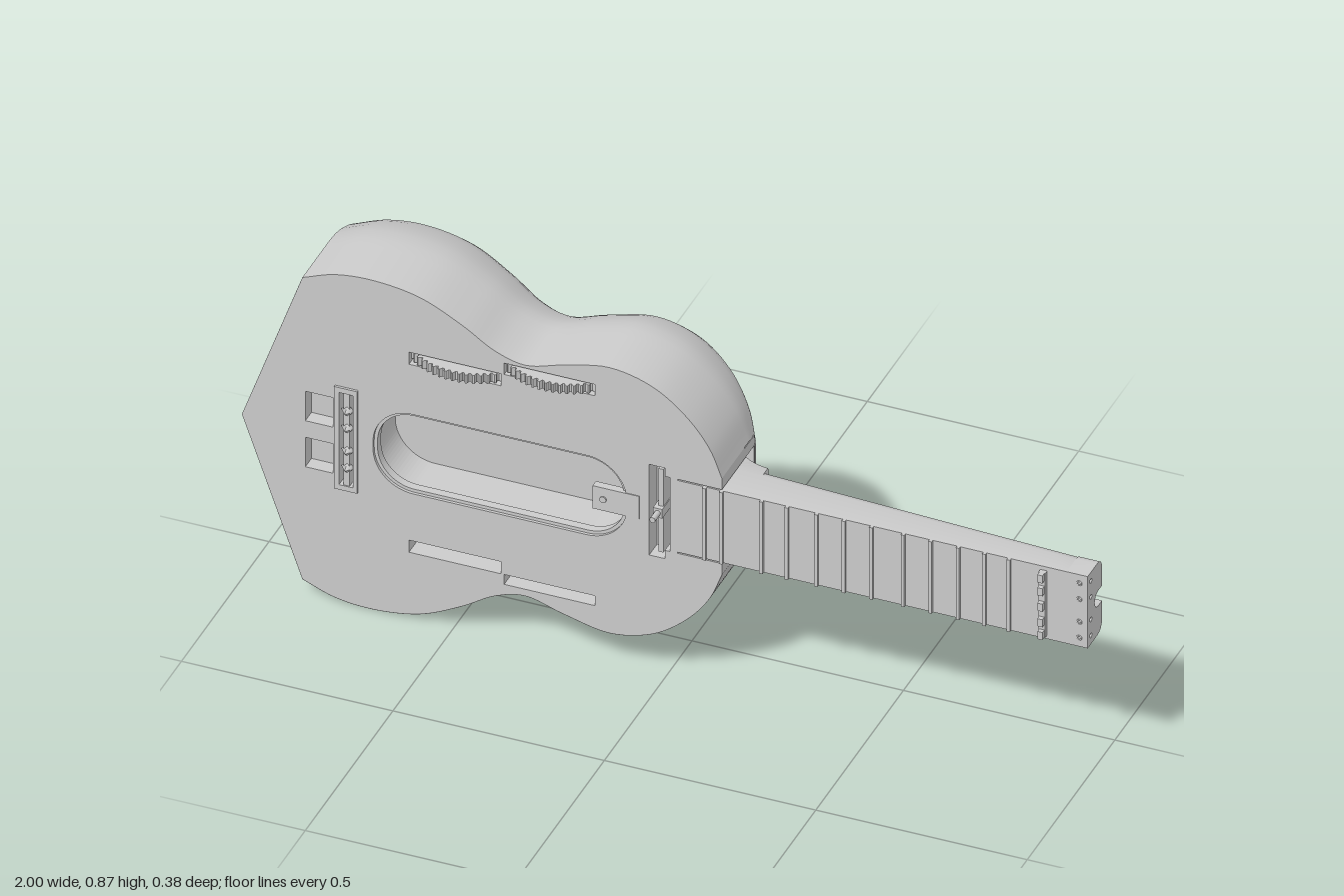
import * as THREE from 'three';
import { toCreasedNormals } from 'three/addons/utils/BufferGeometryUtils.js';

const grey = new THREE.MeshStandardMaterial({ color: 0xcccccc, side: THREE.DoubleSide });
const FRONT = 0.155, BOARD = 0.13;

export function createModel() {
  const model = new THREE.Group();
  model.name = 'guitar';
  const guitar = new THREE.Group(); // y = 0 is the centre line in here
  guitar.name = 'guitarParts';
  guitar.position.y = 0.438;
  model.add(guitar);

  const add = (name, geometry) => {
    const mesh = new THREE.Mesh(geometry, grey);
    mesh.name = name;
    guitar.add(mesh);
    return mesh;
  };
  const box = (name, x0, x1, y0, y1, z0, z1) =>
    add(name, new THREE.BoxGeometry(x1 - x0, y1 - y0, z1 - z0)
      .translate((x0 + x1) / 2, (y0 + y1) / 2, (z0 + z1) / 2));
  const geometryOf = (points, index) => {
    const g = new THREE.BufferGeometry();
    g.setAttribute('position', new THREE.Float32BufferAttribute(points.flat(), 3));
    g.setIndex(index);
    g.computeVertexNormals();
    return g;
  };
  // Skin over a row of cross-sections with equal point counts
  const loft = (sections, closed) => {
    const n = sections[0].length, index = [];
    for (let i = 0; i < sections.length - 1; i++) {
      for (let j = 0; j < (closed ? n : n - 1); j++) {
        const k = (j + 1) % n, a = i * n + j, c = i * n + k;
        index.push(a, a + n, c, a + n, c + n, c);
      }
    }
    return geometryOf(sections.flat(), index);
  };
  // Mirror a half section of [y, z] across the centre line
  const mirrored = (x, half) => [
    ...half.map(([y, z]) => [x, y, z]),
    ...half.slice().reverse().map(([y, z]) => [x, -y, z]),
  ];
  const roundRect = (x0, x1, y0, y1, r = 0) => {
    const s = new THREE.Shape();
    if (!r) return s.setFromPoints([[x0, y0], [x1, y0], [x1, y1], [x0, y1]].map(p => new THREE.Vector2(...p)));
    s.absarc(x1 - r, y0 + r, r, -Math.PI / 2, 0);
    s.absarc(x1 - r, y1 - r, r, 0, Math.PI / 2);
    s.absarc(x0 + r, y1 - r, r, Math.PI / 2, Math.PI);
    s.absarc(x0 + r, y0 + r, r, Math.PI, Math.PI * 1.5);
    s.closePath();
    return s;
  };

  // Body shell: position along x, half width, depth of the back
  const rail = new THREE.CatmullRomCurve3([
    [-0.857, 0.400, -0.170], [-0.78, 0.428, -0.182], [-0.69, 0.436, -0.187], [-0.58, 0.420, -0.177],
    [-0.48, 0.373, -0.154], [-0.40, 0.324, -0.134], [-0.33, 0.306, -0.127], [-0.24, 0.330, -0.138],
    [-0.13, 0.352, -0.147], [-0.03, 0.328, -0.138], [0.05, 0.270, -0.112], [0.105, 0.200, -0.075],
    [0.135, 0.128, -0.040],
  ].map(p => new THREE.Vector3(...p))).getPoints(72);
  const corner = [[0, 0], [0.03, 0.2], [0.12, 0.4], [0.28, 0.63], [0.42, 0.78], [0.6, 0.9], [0.8, 0.975], [1, 1]];
  const bodySections = rail.map(({ x, y: h, z: d }) => mirrored(x, [
    [h, FRONT], [h, 0.03], ...corner.map(([a, b]) => [h - 0.24 * h * a, d * b]), [h * 0.5, d],
  ]));
  add('bodyShell', loft(bodySections, false));

  // Pointed tail, fanned from the lower end of the tip edge
  const end = bodySections[0], n = end.length, fan = [];
  for (let j = 0; j < n - 1; j++) fan.push(n, j, j + 1);
  fan.push(n, n + 1, 0, n, n - 1, n + 1);
  add('tail', toCreasedNormals(geometryOf([...end, [-1, 0, 0.025], [-1, 0, FRONT]], fan), 0.35));
  [[[-0.905, 0.265, 0.07], [-0.94, 0.336, 0]], [[-0.907, 0.09, -0.102], [-0.81, 0, -0.59]]].forEach(([p, d]) => {
    const ring = add('tailSocket', new THREE.TorusGeometry(0.017, 0.004, 8, 20));
    ring.position.set(...p);
    ring.quaternion.setFromUnitVectors(new THREE.Vector3(0, 0, 1), new THREE.Vector3(...d).normalize());
  });

  // Soundboard with sound hole, slots and neck notch
  const half = rail.map(p => [p.x, p.y * 0.999]);
  const outline = [[-1, 0], ...half, [0.135, 0.1], [0.03, 0.1]];
  outline.push(...outline.slice(1).reverse().map(([x, y]) => [x, -y]));
  const board = new THREE.Shape(outline.map(p => new THREE.Vector2(...p)));
  const recesses = [
    ['soundHoleFloor', roundRect(-0.69, -0.09, -0.105, 0.105, 0.095), 0.028],
    ['upperRearSlotFloor', roundRect(-0.605, -0.387, 0.236, 0.268), 0.1],
    ['upperFrontSlotFloor', roundRect(-0.38, -0.165, 0.268, 0.298), 0.1],
    ['lowerRearSlotFloor', roundRect(-0.605, -0.387, -0.262, -0.23), 0.1],
    ['lowerFrontSlotFloor', roundRect(-0.38, -0.165, -0.288, -0.262), 0.1],
    ['pickupSlotFloor', roundRect(-0.037, 0.012, -0.12, 0.12), 0.11],
    ['bridgeSlotFloor', roundRect(-0.768, -0.735, -0.122, 0.122), 0.12],
    ['tailpiecePocketFloor', roundRect(-0.85, -0.785, 0.022, 0.1), 0.12],
    ['tailpiecePocketFloor', roundRect(-0.85, -0.785, -0.1, -0.022), 0.12],
  ];
  recesses.forEach(([name, shape, z]) => {
    board.holes.push(shape);
    add(name, new THREE.ShapeGeometry(shape, 10).translate(0, 0, z));
  });
  add('soundboard', new THREE.ExtrudeGeometry(board, { depth: BOARD, bevelEnabled: false, curveSegments: 10 })
    .translate(0, 0, FRONT - BOARD));
  const rim = roundRect(-0.69, -0.09, -0.105, 0.105, 0.095);
  rim.holes.push(roundRect(-0.682, -0.098, -0.097, 0.097, 0.087));
  add('soundHoleLip', new THREE.ExtrudeGeometry(rim, { depth: 0.02, bevelEnabled: false, curveSegments: 10 })
    .translate(0, 0, 0.128));

  // Pin plate at the sound hole, and pickup with its post
  box('pinPlate', -0.17, -0.06, -0.03, 0.03, 0.138, 0.157);
  add('platePin', new THREE.CylinderGeometry(0.008, 0.008, 0.012, 12).rotateX(Math.PI / 2).translate(-0.145, 0, 0.154));
  box('pickupBar', -0.018, -0.006, -0.11, 0.11, 0.11, 0.148);
  box('pickupPost', -0.026, -0.004, -0.012, 0.012, 0.11, 0.16);
  add('pickupPin', new THREE.CylinderGeometry(0.007, 0.007, 0.05, 10).rotateX(Math.PI / 2).translate(-0.015, 0, 0.165));

  // Bridge frame with saddles
  const frame = roundRect(-0.78, -0.725, -0.135, 0.135);
  frame.holes.push(roundRect(-0.768, -0.735, -0.122, 0.122));
  add('bridgeFrame', new THREE.ExtrudeGeometry(frame, { depth: 0.006, bevelEnabled: false }).translate(0, 0, FRONT));
  box('bridgeBar', -0.758, -0.744, -0.122, 0.122, 0.12, 0.158);
  for (const y of [-0.075, -0.03, 0.03, 0.075]) {
    add('saddle', new THREE.ConeGeometry(0.016, 0.02, 4).rotateX(Math.PI / 2).translate(-0.75, y, 0.163));
  }

  // Toothed thumb wheels, only the part above the slot floors
  for (const [x, y] of [[-0.493, 0.263], [-0.272, 0.294]]) {
    const pts = [];
    for (let i = 0; i <= 72; i++) {
      const a = -0.9 + i * 0.025, r = i % 4 < 2 ? 0.162 : 0.154;
      pts.push(new THREE.Vector2(r * Math.sin(a), r * Math.cos(a) + 0.024));
    }
    add('thumbWheel', new THREE.ExtrudeGeometry(new THREE.Shape(pts), { depth: 0.022, bevelEnabled: false })
      .rotateX(Math.PI / 2).translate(x, y, 0));
  }

  // Neck pocket at the shoulder of the body
  for (const s of [-1, 1]) {
    box('pocketSide', 0.0, 0.135, s > 0 ? 0.098 : -0.125, s > 0 ? 0.125 : -0.098, -0.03, FRONT);
  }
  box('pocketFloor', 0.0, 0.134, -0.098, 0.098, -0.037, -0.03);
  box('pocketEnd', -0.01, 0.0, -0.125, 0.125, -0.037, 0.1);

  // Neck with a tapering channel along its back
  const backZ = x => 0.035 + 0.04 * (x - 0.15) / 0.85;
  const neckSection = (x, depth) => {
    const z = backZ(x), c = 0.026 + 0.034 * Math.pow(Math.max(0, (0.9 - x) / 0.8), 1.6);
    return mirrored(x, [[0.095, FRONT], [0.095, z + 0.03], [0.091, z + 0.015], [0.081, z + 0.004],
      [0.066, z], [c, z], [c, z + depth]]);
  };
  const neckSections = [];
  for (let i = 0; i <= 12; i++) neckSections.push(neckSection(0.03 + 0.87 * i / 12, 0.022));
  neckSections.push(neckSection(0.9, 0), neckSection(0.95, 0));
  add('neck', toCreasedNormals(loft(neckSections, true), 0.6));
  box('channelPlate', 0.83, 0.885, -0.018, 0.018, 0.08, 0.096);
  add('channelScrew', new THREE.CylinderGeometry(0.009, 0.009, 0.024, 12).rotateX(Math.PI / 2).translate(0.86, 0, 0.085));

  // Head end block: notch in the back and string holes through the end (shape x is -z)
  const head = new THREE.Shape();
  const hz = -0.073;
  head.moveTo(-FRONT, -0.095);
  head.lineTo(hz - 0.03, -0.095);
  head.quadraticCurveTo(hz, -0.095, hz, -0.065);
  head.lineTo(hz, -0.02);
  head.lineTo(-0.095, -0.02);
  head.absarc(-0.095, 0, 0.02, -Math.PI / 2, Math.PI / 2, true);
  head.lineTo(hz, 0.02);
  head.lineTo(hz, 0.065);
  head.quadraticCurveTo(hz, 0.095, hz - 0.03, 0.095);
  head.lineTo(-FRONT, 0.095);
  for (const y of [-0.072, -0.03, 0.03, 0.072]) {
    head.holes.push(new THREE.Path().absarc(-0.137, y, 0.006, 0, Math.PI * 2));
    add('stringHole', new THREE.TorusGeometry(0.005, 0.002, 6, 12).translate(0.98, y, FRONT));
  }
  add('headEnd', toCreasedNormals(new THREE.ExtrudeGeometry(head, { depth: 0.05, bevelEnabled: false, curveSegments: 8 })
    .rotateY(Math.PI / 2).translate(0.95, 0, 0), 0.5));
  add('headBolt', new THREE.CylinderGeometry(0.011, 0.011, 0.04, 14).rotateZ(Math.PI / 2).translate(0.965, 0, 0.095));

  // Heel legs curving from the neck into the pocket
  const heel = new THREE.Shape();
  heel.moveTo(0.02, 0.1);
  heel.lineTo(0.02, 0.01);
  heel.quadraticCurveTo(0.02, -0.012, 0.045, -0.012);
  heel.lineTo(0.105, -0.012);
  heel.quadraticCurveTo(0.135, 0.03, 0.19, 0.037);
  heel.lineTo(0.19, 0.1);
  for (const y of [0.09, -0.045]) {
    add('heelLeg', toCreasedNormals(new THREE.ExtrudeGeometry(heel,
      { depth: 0.035, bevelEnabled: true, bevelThickness: 0.005, bevelSize: 0.005, bevelSegments: 2 })
      .rotateX(Math.PI / 2).translate(0, y, 0), 0.6));
  }

  // Frets and nut
  for (const x of [0.095, 0.135, 0.23, 0.29, 0.36, 0.425, 0.49, 0.565, 0.63, 0.695, 0.757, 0.815]) {
    box('fret', x - 0.004, x + 0.004, -0.095, 0.095, 0.15, 0.162);
  }
  box('nut', 0.888, 0.904, -0.085, 0.085, 0.15, 0.166);
  for (const y of [-0.085, -0.051, -0.01, 0.031, 0.065]) box('nutTooth', 0.89, 0.902, y, y + 0.02, 0.16, 0.177);

  return model;
}
